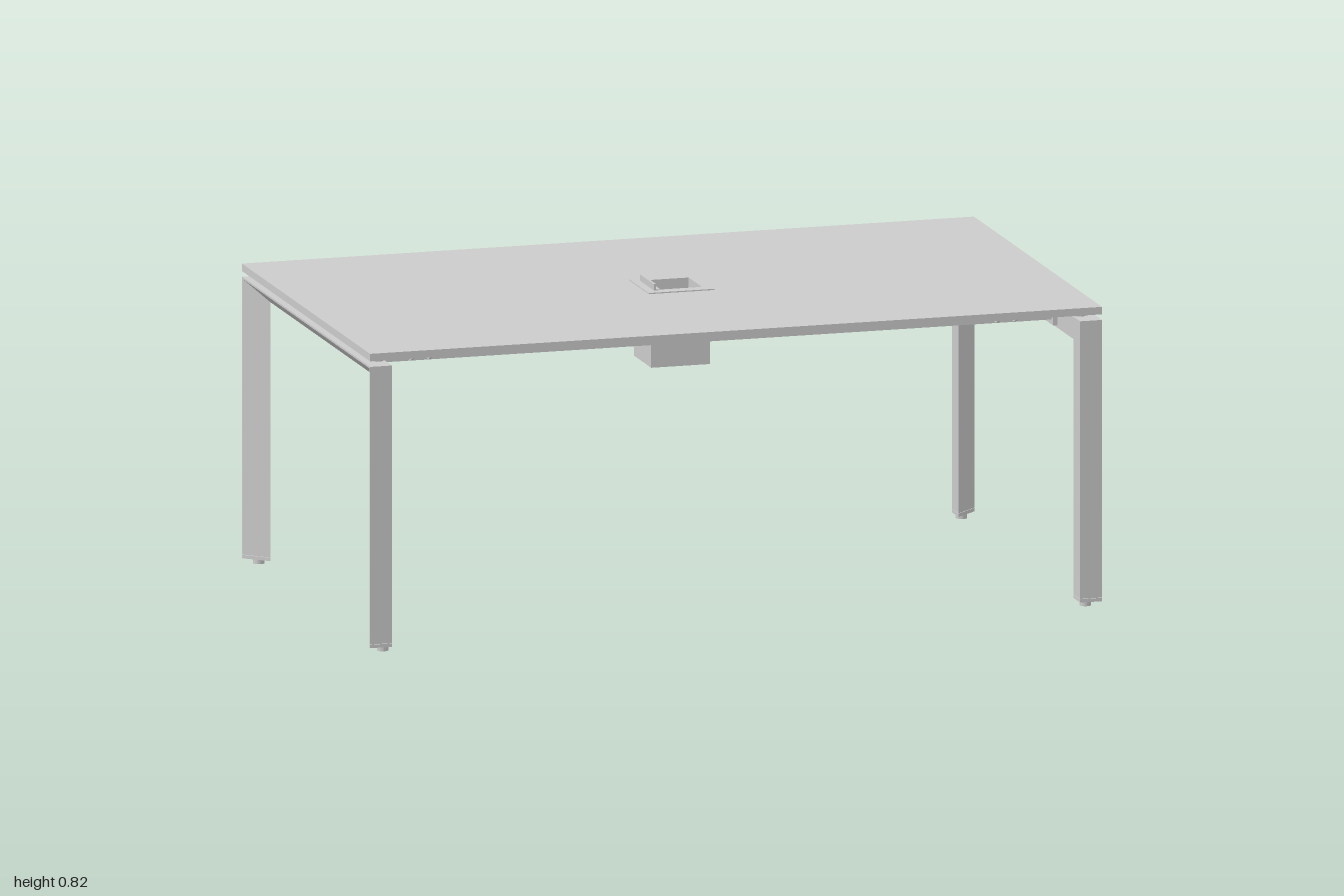
import * as THREE from 'three';

const material = new THREE.MeshStandardMaterial({ color: 0xcccccc, side: THREE.DoubleSide, flatShading: true });

function add(parent, name, geometry, x = 0, y = 0, z = 0) {
  const mesh = new THREE.Mesh(geometry, material);
  mesh.name = name;
  mesh.position.set(x, y, z);
  parent.add(mesh);
  return mesh;
}

// Box given by its limits on each axis
function box(parent, name, [x0, x1], [y0, y1], [z0, z1]) {
  return add(parent, name, new THREE.BoxGeometry(x1 - x0, y1 - y0, z1 - z0),
    (x0 + x1) / 2, (y0 + y1) / 2, (z0 + z1) / 2);
}

// Horizontal plate with a rectangular hole, limits in x and z
function plateWithHole(x0, x1, z0, z1, hole, y0, y1) {
  const rect = (path, a, b, c, d) => path.moveTo(a, -c).lineTo(b, -c).lineTo(b, -d).lineTo(a, -d).closePath();
  const shape = new THREE.Shape();
  rect(shape, x0, x1, z0, z1);
  const cut = new THREE.Path();
  rect(cut, ...hole);
  shape.holes.push(cut);
  return new THREE.ExtrudeGeometry(shape, { depth: y1 - y0, bevelEnabled: false })
    .rotateX(-Math.PI / 2).translate(0, y0, 0);
}

// Mitred U-frame with a wedge section that opens outwards
function endFrameGeometry() {
  const profile = [[1, 0], [1, 0.005], [0.94, 0.06], [0.94, 0]]; // x, inset
  const nodes = [ // outer z, outer y, inset direction in z and y
    [0.58, 0.022, -1, 0], [0.58, 0.765, -1, -1], [-0.58, 0.765, 1, -1], [-0.58, 0.022, 1, 0],
  ];
  const positions = [];
  for (const [z, y, dz, dy] of nodes)
    for (const [x, inset] of profile) positions.push(x, y + dy * inset, z + dz * inset);
  const index = [0, 2, 1, 0, 3, 2, 12, 13, 14, 12, 14, 15];
  for (let i = 0; i < 3; i++) {
    for (let j = 0; j < 4; j++) {
      const a = i * 4 + j, b = i * 4 + (j + 1) % 4;
      index.push(a, b, b + 4, a, b + 4, a + 4);
    }
  }
  const indexed = new THREE.BufferGeometry();
  indexed.setAttribute('position', new THREE.Float32BufferAttribute(positions, 3));
  indexed.setIndex(index);
  const geometry = indexed.toNonIndexed();
  geometry.computeVertexNormals();
  return geometry;
}

// One end of the table: frame, feet, spacers, brackets and cross support
function createEnd() {
  const end = new THREE.Group();
  add(end, 'endFrame', endFrameGeometry());

  for (const s of [1, -1]) {
    // Wedge-shaped leg cap and levelling foot
    const cap = new THREE.Shape([[1, 0.58], [1, 0.575], [0.94, 0.52], [0.94, 0.58]]
      .map(([x, z]) => new THREE.Vector2(x, -s * z)));
    add(end, 'legCap', new THREE.ExtrudeGeometry(cap, { depth: 0.009, bevelEnabled: false })
      .rotateX(-Math.PI / 2), 0, 0.012, 0);
    add(end, 'foot', new THREE.CylinderGeometry(0.015, 0.015, 0.012, 20), 0.96, 0.006, s * 0.56);

    // Spacer between frame and top
    add(end, 'topSpacer', new THREE.CylinderGeometry(0.018, 0.018, 0.015, 20), 0.96, 0.7725, s * 0.507);
    // Plates joining the beams to the frame
    box(end, 'beamBracket', [0.928, 0.94], [0.712, 0.763], [s * 0.34 - 0.035, s * 0.34 + 0.035]);
  }

  // Cross support: channel with tapered cantilever ends
  const side = new THREE.Shape([
    [-0.48, 0.78], [-0.48, 0.774], [-0.37, 0.728], [0.37, 0.728], [0.48, 0.774], [0.48, 0.78],
  ].map(([z, y]) => new THREE.Vector2(-z, y)));
  for (const x of [0.773, 0.822]) {
    add(end, 'crossSupportSide', new THREE.ExtrudeGeometry(side, { depth: 0.005, bevelEnabled: false })
      .rotateY(Math.PI / 2), x, 0, 0);
  }
  box(end, 'crossSupportFloor', [0.773, 0.827], [0.728, 0.733], [-0.36, 0.36]);
  return end;
}

// Power box set into the middle of the top
function createPowerBox(hole) {
  const power = new THREE.Group();
  power.name = 'powerBox';
  const [x0, x1, z0, z1] = hole;

  add(power, 'rim', plateWithHole(-0.09, 0.09, -0.09, 0.088, hole, 0.8, 0.803));
  add(power, 'lowerRim', plateWithHole(-0.09, 0.09, -0.09, 0.088, hole, 0.774, 0.78));

  // Housing below the top, open underneath
  for (const s of [1, -1]) {
    box(power, 'housingSide', [s * 0.078 - 0.002, s * 0.078 + 0.002], [0.6, 0.775], [-0.077, 0.077]);
    box(power, 'housingWall', [-0.078, 0.078], [0.6, 0.775], [s * 0.075 - 0.002, s * 0.075 + 0.002]);
  }
  box(power, 'housingCeiling', [-0.078, 0.078], [0.67, 0.674], [-0.076, 0.076]);

  // Tray with two panels and sockets
  box(power, 'trayFloor', [x0, x1], [0.764, 0.77], [z0, z1]);
  box(power, 'socketPanel', [x0 + 0.004, x1 - 0.004], [0.77, 0.776], [z0 + 0.004, -0.001]);
  box(power, 'blankPanel', [x0 + 0.004, x1 - 0.004], [0.77, 0.776], [0.005, z1 - 0.004]);
  add(power, 'squareSocket', plateWithHole(-0.041, -0.009, -0.041, -0.009,
    [-0.036, -0.014, -0.036, -0.014], 0.776, 0.78));
  for (const z of [-0.036, -0.014]) box(power, 'slotSocket', [0.016, 0.044], [0.776, 0.78], [z - 0.004, z + 0.004]);

  // Raised lid and its hinge
  box(power, 'lid', [-0.068, -0.062], [0.8, 0.82], [-0.066, 0.062]);
  box(power, 'lidHinge', [-0.062, -0.05], [0.8, 0.805], [-0.066, 0.062]);
  return power;
}

export function createModel() {
  const table = new THREE.Group();
  table.name = 'table';

  // Table top with the power box opening
  const hole = [-0.055, 0.065, -0.065, 0.055];
  add(table, 'tableTop', plateWithHole(-1, 1, -0.58, 0.58, hole, 0.78, 0.8));

  // Lengthwise beams
  for (const s of [1, -1]) {
    box(table, 'beam', [-0.94, 0.94], [0.725, 0.764], [s * 0.34 - 0.02, s * 0.34 + 0.02]);
  }

  const left = createEnd();
  left.name = 'leftEnd';
  const right = createEnd();
  right.name = 'rightEnd';
  right.rotation.y = Math.PI;
  table.add(left, right, createPowerBox(hole));
  return table;
}
